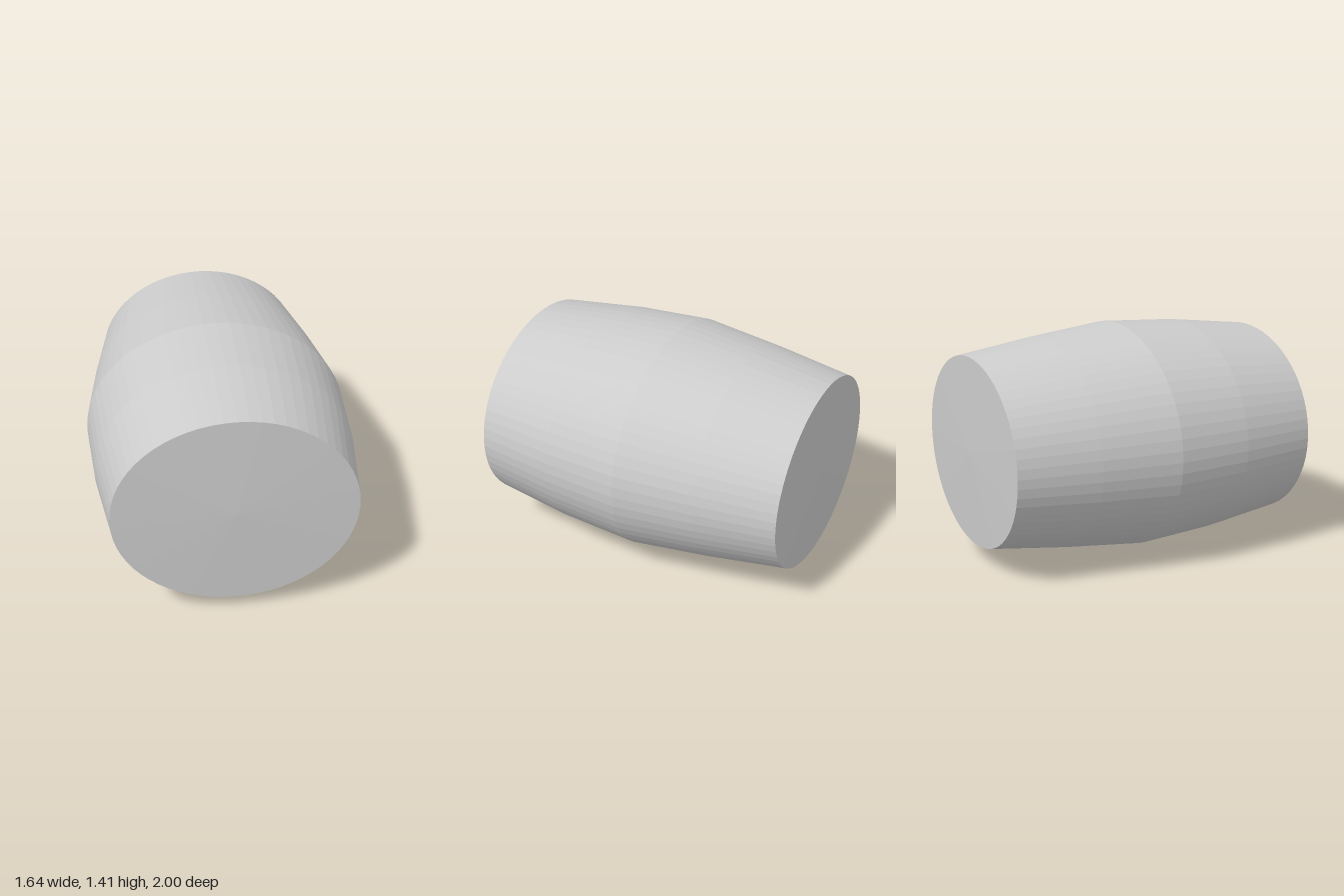
import * as THREE from 'three';

const SEGMENTS = 64;
const HEIGHT_RATIO = 0.861; // the cross-section is a flattened ellipse
const CENTRE_Y = 0.71;

export function createModel() {
  const group = new THREE.Group();
  group.name = 'barrel';
  const material = new THREE.MeshStandardMaterial({ color: 0xcccccc, flatShading: true });

  // Turn a [half width, z] profile around the z axis
  function addTurned(name, profile) {
    const points = profile.map(([r, z]) => new THREE.Vector2(r, z));
    const geometry = new THREE.LatheGeometry(points, SEGMENTS);
    geometry.rotateX(Math.PI / 2);
    geometry.scale(1, HEIGHT_RATIO, 1);
    geometry.translate(0, CENTRE_Y, 0);
    const mesh = new THREE.Mesh(geometry, material);
    mesh.name = name;
    group.add(mesh);
  }

  // Bulging wall, a little narrower at the back
  const back = [0.673, -0.985];
  const front = [0.722, 0.98];
  addTurned('wall', [back, [0.755, -0.49], [0.82, 0], [0.79, 0.48], front]);

  // Slightly domed end discs
  addTurned('backHead', [[0, -1], back]);
  addTurned('frontHead', [front, [0, 0.997]]);

  return group;
}
